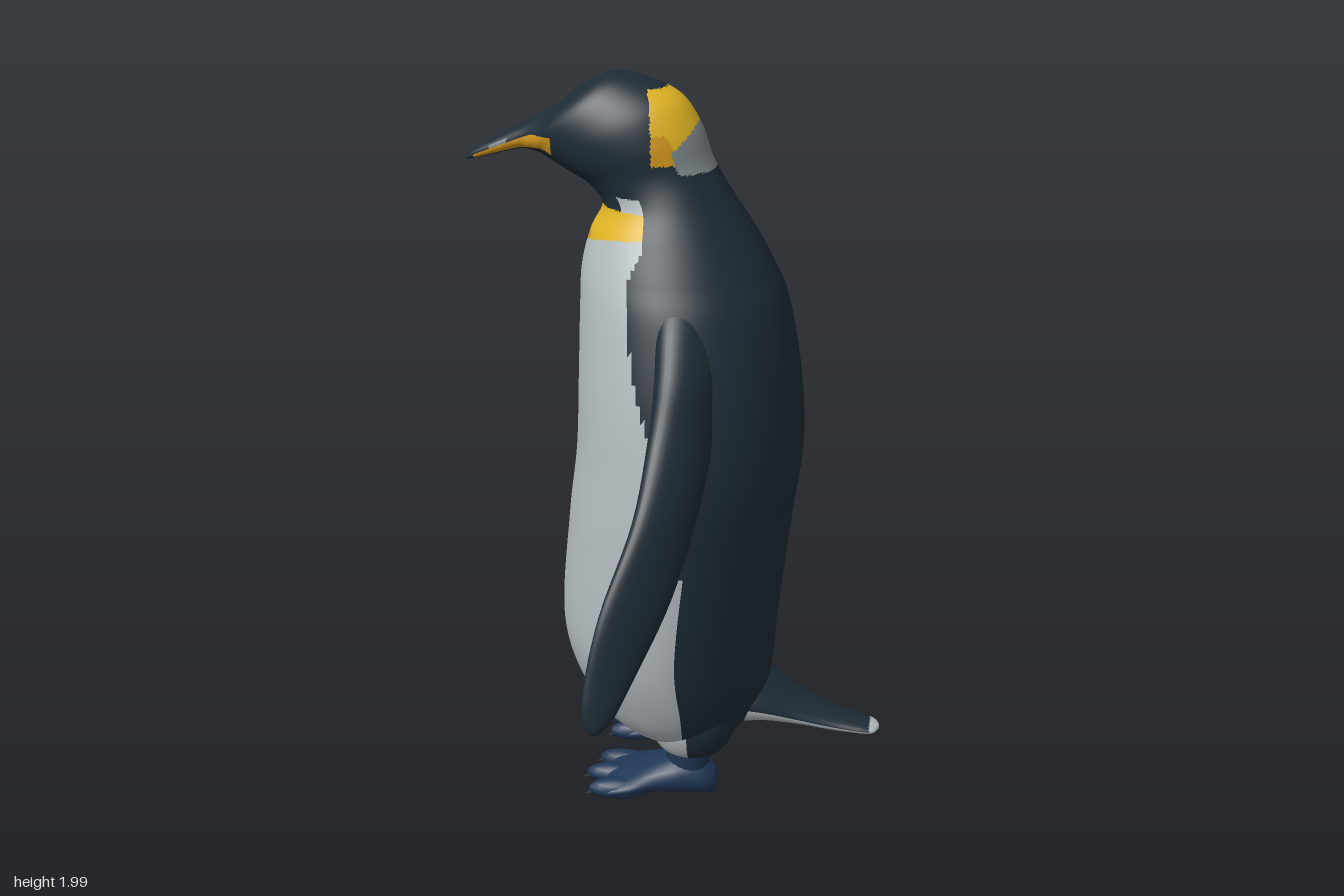
import * as THREE from 'three';

const mat = (name, color) => {
  const m = new THREE.MeshStandardMaterial({ color });
  m.name = name;
  return m;
};

// Smooth loft through elliptical rings [centre, half axis a, half axis b].
// pick(point, degrees away from axis a) returns the material index.
function loft(name, rings, rows, sides, mats, pick = () => 0) {
  const curves = [0, 1, 2].map(k => new THREE.CatmullRomCurve3(
    rings.map(r => new THREE.Vector3(...r[k])), false, 'catmullrom', 0.5));
  const pts = [];
  for (let i = 0; i <= rows; i++) {
    const [c, a, b] = curves.map(q => q.getPoint(i / rows));
    for (let j = 0; j < sides; j++) {
      const t = (j / sides) * Math.PI * 2;
      pts.push(c.clone().addScaledVector(a, Math.cos(t)).addScaledVector(b, Math.sin(t)));
    }
  }
  const first = pts.length;
  pts.push(curves[0].getPoint(0), curves[0].getPoint(1));

  const buckets = mats.map(() => []);
  let volume = 0;
  const tri = (i, j, k, deg) => {
    const p = pts[i].clone().add(pts[j]).add(pts[k]).divideScalar(3);
    volume += pts[i].dot(pts[j].clone().cross(pts[k]));
    buckets[pick(p, deg > 180 ? 360 - deg : deg)].push([i, j, k]);
  };
  for (let j = 0; j < sides; j++) {
    const n = (j + 1) % sides, deg = ((j + 0.5) / sides) * 360;
    for (let i = 0; i < rows; i++) {
      const p = i * sides + j, q = i * sides + n;
      tri(p, q, q + sides, deg);
      tri(p, q + sides, p + sides, deg);
    }
    tri(first, n, j, deg);
    tri(first + 1, rows * sides + j, rows * sides + n, deg);
  }

  const geo = new THREE.BufferGeometry().setFromPoints(pts);
  const index = [];
  buckets.forEach((tris, m) => {
    const start = index.length;
    tris.forEach(([i, j, k]) => (volume < 0 ? index.push(i, k, j) : index.push(i, j, k)));
    geo.addGroup(start, index.length - start, m);
  });
  geo.setIndex(index);
  geo.computeVertexNormals();
  const mesh = new THREE.Mesh(geo, mats);
  mesh.name = name;
  return mesh;
}

export function createModel() {
  const black = mat('slate black', 0x1d2b35);
  const white = mat('pale grey', 0xb4bcc0);
  const yellow = mat('golden yellow', 0xe0b424);
  const amber = mat('amber', 0xd0961c);
  const grey = mat('nape grey', 0x7e878a);
  const blue = mat('foot blue', 0x203755);

  const bird = new THREE.Group();
  bird.name = 'penguin';

  // Body, head and beak: back z, back y, front z, front y, half width
  const profile = [
    [-0.10, 0.13, 0.08, 0.165, 0.12], [-0.21, 0.18, 0.175, 0.215, 0.25],
    [-0.27, 0.30, 0.25, 0.315, 0.33], [-0.29, 0.50, 0.305, 0.50, 0.383],
    [-0.325, 0.80, 0.285, 0.80, 0.396], [-0.35, 1.00, 0.262, 1.00, 0.39],
    [-0.34, 1.20, 0.255, 1.20, 0.36], [-0.305, 1.40, 0.25, 1.40, 0.302],
    [-0.265, 1.50, 0.245, 1.50, 0.256], [-0.21, 1.60, 0.222, 1.59, 0.207],
    [-0.145, 1.70, 0.19, 1.66, 0.163], [-0.10, 1.78, 0.225, 1.71, 0.145],
    [-0.068, 1.87, 0.285, 1.745, 0.148], [-0.015, 1.945, 0.32, 1.765, 0.143],
    [0.075, 1.987, 0.34, 1.775, 0.129], [0.16, 2.00, 0.355, 1.783, 0.112],
    [0.24, 1.965, 0.37, 1.787, 0.093], [0.31, 1.91, 0.385, 1.79, 0.069],
    [0.38, 1.87, 0.41, 1.79, 0.043], [0.46, 1.825, 0.465, 1.777, 0.026],
    [0.53, 1.785, 0.53, 1.76, 0.012], [0.56, 1.76, 0.558, 1.755, 0.002],
  ];
  const { smoothstep } = THREE.MathUtils;
  const bodyColour = (p, phi) => {
    const x = Math.abs(p.x);
    if (p.y < 0.17) return 1;
    // beak stripes
    if (p.z > 0.31 && p.z < 0.535 && p.y > 1.72 && p.y < 1.84) {
      if (p.z > 0.44 && p.z < 0.49 && phi > 88 && phi < 115) return 4;
      return phi > 34 && phi < 88 ? 3 : 0;
    }
    // nape patches
    if (p.y > 1.76 && p.z < 0.08 - 0.28 * x) {
      const arch = 1.88 - 4.4 * x * x;
      if (p.y < arch && x < 0.12) return 4;
      if (p.y > 1.966 || p.y < 1.785) return 0;
      return x > 0.115 && p.y < 1.86 ? 3 : 2;
    }
    // belly, bib and collar
    const edge = 102 - 34 * smoothstep(p.y, 0.7, 1.4) + 10 * smoothstep(p.y, 1.5, 1.6);
    if (phi > edge || p.y > 1.70) return 0;
    const bib = 1.555 + 0.25 * x;
    if (p.y > 1.665) return phi > 55 ? 1 : 0;
    if (p.y > bib) return x < 0.07 && p.y < bib + 0.02 ? 3 : 2;
    return 1;
  };
  bird.add(loft('body', profile.map(([bz, by, fz, fy, w]) => [
    [0, (by + fy) / 2, (bz + fz) / 2], [0, (fy - by) / 2, (fz - bz) / 2], [w, 0, 0],
  ]), 273, 144, [black, white, yellow, amber, grey], bodyColour));

  // Tail: z, y, sideways shift, half width, half thickness
  const tail = [
    [-0.12, 0.27, 0, 0.17, 0.11], [-0.25, 0.25, 0, 0.135, 0.065], [-0.36, 0.215, 0.008, 0.09, 0.036],
    [-0.46, 0.19, 0.018, 0.062, 0.024], [-0.55, 0.18, 0.028, 0.048, 0.016],
    [-0.575, 0.178, 0.03, 0.035, 0.011], [-0.587, 0.178, 0.03, 0.01, 0.005],
  ];
  bird.add(loft('tail', tail.map(([z, y, x, w, h]) => [[x, y, z], [0, h, 0], [w, 0, 0]]),
    36, 32, [black, white], (p, phi) => (phi > 95 || p.z < -0.56 ? 1 : 0)));

  // Flippers: y, x, z, half chord, half thickness, degrees the chord turns outward
  const flipper = [
    [1.52, 0.14, -0.05, 0.06, 0.05, 62], [1.42, 0.215, -0.065, 0.095, 0.065, 62],
    [1.30, 0.29, -0.08, 0.11, 0.065, 60], [1.18, 0.36, -0.078, 0.115, 0.056, 58],
    [1.00, 0.505, -0.06, 0.112, 0.042, 53], [0.80, 0.645, -0.004, 0.105, 0.031, 42],
    [0.62, 0.737, 0.052, 0.066, 0.022, 34], [0.54, 0.768, 0.07, 0.038, 0.016, 30],
    [0.51, 0.777, 0.076, 0.012, 0.008, 30],
  ];
  for (const s of [1, -1]) {
    const side = s > 0 ? 'left' : 'right';
    bird.add(loft(side + 'Flipper', flipper.map(([y, x, z, c, t, deg]) => {
      const a = THREE.MathUtils.degToRad(deg), u = Math.sin(a), f = Math.cos(a);
      return [[s * x, y, z], [s * f * t, 0, -u * t], [s * u * c, 0, f * c]];
    }), 48, 40, [black, white], (p, phi) => (phi > 114 && p.y < 1.15 ? 1 : 0)));

    // Webbed foot: z, half width, height
    const foot = new THREE.Group();
    foot.name = side + 'Foot';
    const sole = [
      [-0.11, 0.035, 0.07], [-0.08, 0.06, 0.10], [-0.02, 0.075, 0.12],
      [0.05, 0.085, 0.10], [0.12, 0.108, 0.07], [0.18, 0.113, 0.05], [0.20, 0.095, 0.03],
    ];
    foot.add(loft('sole', sole.map(([z, w, h]) => [[0, h / 2 + 0.01, z], [0, h / 2, 0], [w, 0, 0]]),
      24, 24, [blue]));
    for (const k of [-1, 0, 1]) {
      const toe = new THREE.Mesh(new THREE.SphereGeometry(1, 16, 10), blue);
      toe.name = 'toe';
      toe.scale.set(0.032, 0.03, 0.085);
      toe.position.set(k * 0.077, 0.038, 0.175 - 0.02 * Math.abs(k));
      toe.rotation.y = k * 0.15;
      const claw = new THREE.Mesh(new THREE.ConeGeometry(0.012, 0.04, 8), black);
      claw.name = 'claw';
      claw.rotation.x = Math.PI / 2 + 0.35;
      claw.position.set(k * 0.09, 0.025, 0.256 - 0.022 * Math.abs(k));
      foot.add(toe, claw);
    }
    const ankle = new THREE.Mesh(new THREE.CylinderGeometry(0.07, 0.055, 0.14, 20), blue);
    ankle.name = 'ankle';
    ankle.position.set(0, 0.12, -0.03);
    foot.add(ankle);
    foot.position.set(s * 0.165, 0, -0.035);
    bird.add(foot);

    // Thigh bulge above the foot, pale in front
    const thigh = loft(side + 'Thigh', [
      [0.135, 0.05], [0.16, 0.085], [0.22, 0.11], [0.30, 0.11], [0.36, 0.07],
    ].map(([y, r]) => [[s * 0.165, y, -0.075], [0, 0, r * 1.1], [r, 0, 0]]),
    16, 32, [black, white], (p, phi) => (phi < 85 || p.y < 0.145 ? 1 : 0));
    bird.add(thigh);

    const eye = new THREE.Mesh(new THREE.SphereGeometry(0.014, 12, 8), black);
    eye.name = side + 'Eye';
    eye.position.set(s * 0.089, 1.89, 0.265);
    bird.add(eye);
  }

  // The bird stands turned away from the front
  bird.rotation.y = THREE.MathUtils.degToRad(209.4);
  bird.position.set(0.048, 0, -0.024);
  const model = new THREE.Group();
  model.name = 'model';
  model.add(bird);
  return model;
}
